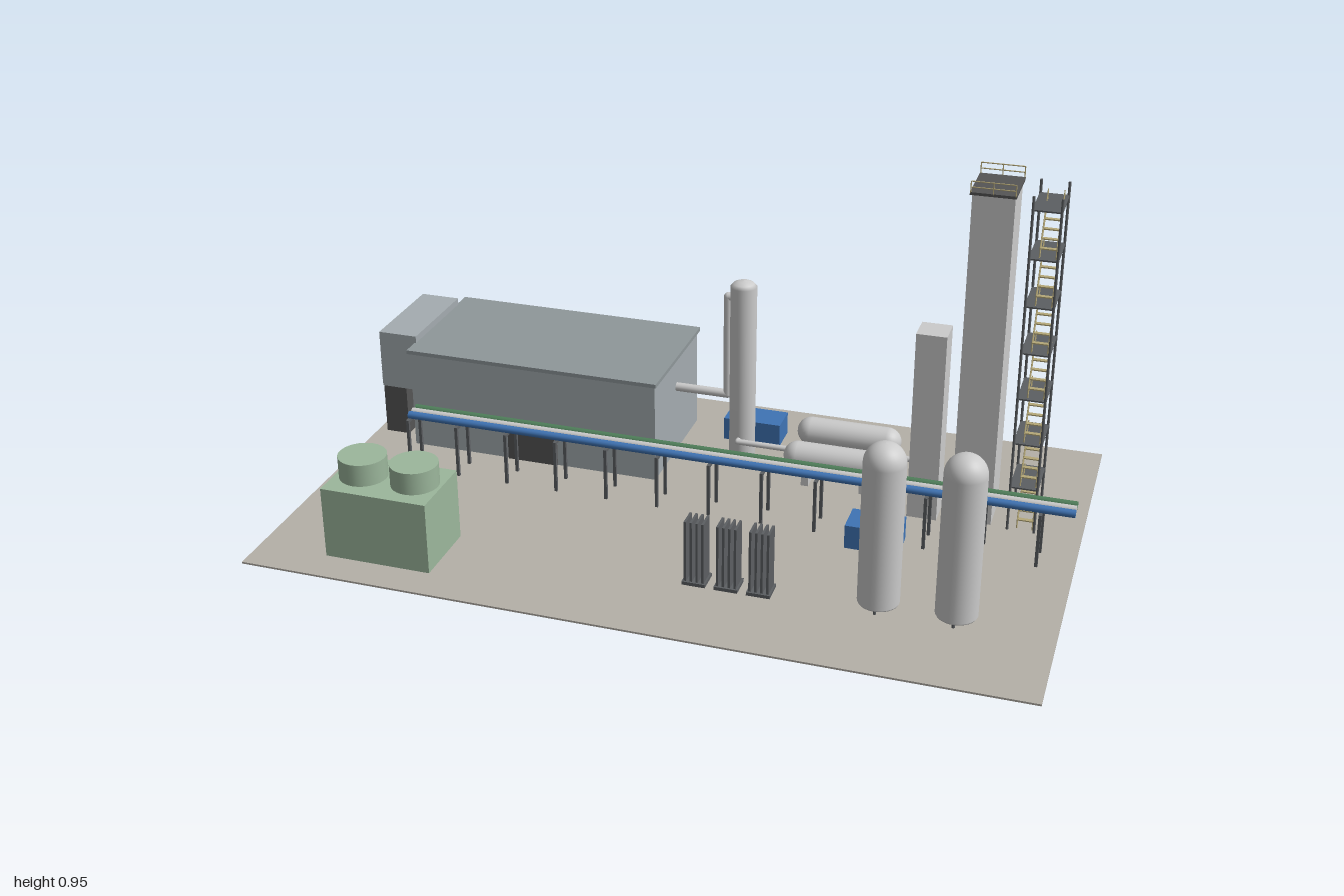
import * as THREE from 'three';

const mat = (color) => new THREE.MeshStandardMaterial({ color });
const grey = mat(0xcccccc), wall = mat(0xa4acb0), roofMat = mat(0x8f979a), ground = mat(0xb4b0a8);
const dark = mat(0x555555), steel = mat(0x5c5f62), blue = mat(0x3f74b5), green = mat(0x9cb79c);
const pipeGreen = mat(0x4f7f5a), rail = mat(0xb5a878);

function add(parent, name, geometry, material, x = 0, y = 0, z = 0) {
  const mesh = new THREE.Mesh(geometry, material);
  mesh.name = name;
  mesh.position.set(x, y, z);
  parent.add(mesh);
  return mesh;
}

// Box given by its limits along each axis
const box = (parent, name, m, x0, x1, y0, y1, z0, z1) =>
  add(parent, name, new THREE.BoxGeometry(x1 - x0, y1 - y0, z1 - z0), m, (x0 + x1) / 2, (y0 + y1) / 2, (z0 + z1) / 2);

// Round bar between two points
function bar(parent, name, m, a, b, r, sides = 8) {
  const p = new THREE.Vector3(...a), q = new THREE.Vector3(...b);
  const mesh = add(parent, name, new THREE.CylinderGeometry(r, r, p.distanceTo(q), sides), m);
  mesh.position.copy(p).add(q).multiplyScalar(0.5);
  mesh.quaternion.setFromUnitVectors(new THREE.Vector3(0, 1, 0), q.sub(p).normalize());
  return mesh;
}

// Pipe run through points, with ball joints at the corners
function pipeRun(parent, name, m, points, r) {
  const run = new THREE.Group();
  run.name = name;
  parent.add(run);
  points.forEach((p, i) => {
    if (i === 0) return;
    bar(run, 'pipe', m, points[i - 1], p, r, 16);
    if (i < points.length - 1) add(run, 'elbow', new THREE.SphereGeometry(r, 16, 10), m, ...p);
  });
}

function section(parent, name) {
  const g = new THREE.Group();
  g.name = name;
  parent.add(g);
  return g;
}

function buildHall(root) {
  const g = section(root, 'compressorHall');
  box(g, 'hallWalls', wall, -0.86, -0.145, 0.004, 0.288, -0.477, -0.1);
  box(g, 'hallRoof', roofMat, -0.866, -0.139, 0.286, 0.297, -0.487, -0.092);
  box(g, 'hallDoor', dark, -0.575, -0.43, 0.004, 0.122, -0.101, -0.095);
  // Air intake house on a dark plinth, louvres on its outer face
  box(g, 'intakePlinth', dark, -0.974, -0.905, 0.004, 0.15, -0.425, -0.15);
  box(g, 'intakeHouse', wall, -0.974, -0.862, 0.15, 0.316, -0.43, -0.145);
  for (let i = 0; i < 8; i++) {
    const slat = box(g, 'intakeLouvre', steel, -0.98, -0.971, 0.165 + i * 0.018, 0.169 + i * 0.018, -0.42, -0.155);
    slat.rotation.z = 0.4;
  }
}

function buildCoolingTower(root) {
  const g = section(root, 'coolingTower');
  box(g, 'coolingBody', green, -0.812, -0.528, 0.004, 0.197, 0.335, 0.525);
  for (const x of [-0.741, -0.599])
    add(g, 'fanStack', new THREE.CylinderGeometry(0.062, 0.062, 0.06, 32), green, x, 0.226, 0.427);
}

function buildProcess(root) {
  const g = section(root, 'processLine');
  // Cooling column with a shallow domed top
  const column = [[0, 0.004], [0.036, 0.004], [0.036, 0.525], [0.028, 0.534], [0.015, 0.54], [0, 0.542]];
  add(g, 'coolingColumn', new THREE.LatheGeometry(column.map(([r, y]) => new THREE.Vector2(r, y)), 32), grey, 0.045, 0, -0.29);
  pipeRun(g, 'inletPipe', grey, [[-0.145, 0.2, -0.29], [0.002, 0.2, -0.29], [0.002, 0.49, -0.29], [0.045, 0.49, -0.29]], 0.012);
  pipeRun(g, 'columnOutletPipe', grey, [[0.045, 0.08, -0.29], [0.045, 0.08, -0.245], [0.2, 0.08, -0.245]], 0.008);
  // Pair of horizontal adsorber vessels on saddles
  for (const z of [-0.371, -0.22]) {
    add(g, 'adsorberVessel', new THREE.CapsuleGeometry(0.039, 0.214, 10, 28), grey, 0.33, 0.08, z).rotation.z = Math.PI / 2;
    for (const x of [0.25, 0.41]) box(g, 'vesselSaddle', grey, x - 0.01, x + 0.01, 0.004, 0.055, z - 0.03, z + 0.03);
  }
  pipeRun(g, 'vesselOutletPipe', grey, [[0.45, 0.08, -0.286], [0.543, 0.08, -0.286], [0.543, 0.08, -0.15], [0.57, 0.08, -0.15]], 0.008);
  pipeRun(g, 'coldBoxPipe', grey, [[0.6, 0.08, -0.148], [0.68, 0.08, -0.148]], 0.008);
  box(g, 'smallColdBox', grey, 0.546, 0.625, 0.004, 0.53, -0.192, -0.113);
  // Blue equipment skids
  box(g, 'equipmentSkid', blue, -0.037, 0.126, 0.004, 0.07, -0.478, -0.39);
  box(g, 'equipmentSkid', blue, 0.427, 0.567, 0.004, 0.07, 0.002, 0.094);
}

function buildColdBox(root) {
  const g = section(root, 'coldBoxTower');
  box(g, 'towerBody', grey, 0.66, 0.765, 0.004, 0.91, -0.253, -0.133);
  box(g, 'towerPlatform', dark, 0.656, 0.769, 0.91, 0.917, -0.267, -0.118);
  for (const z of [-0.265, -0.119]) {
    for (const x of [0.658, 0.7125, 0.767]) bar(g, 'railPost', rail, [x, 0.915, z], [x, 0.945, z], 0.0015, 6);
    for (const y of [0.93, 0.945]) bar(g, 'guardRail', rail, [0.658, y, z], [0.767, y, z], 0.0015, 6);
  }
}

function buildStairTower(root) {
  const g = section(root, 'stairTower');
  for (const x of [0.809, 0.878])
    for (const z of [-0.126, -0.257]) bar(g, 'stairPost', steel, [x, 0, z], [x, 0.92, z], 0.0035);
  const rise = 0.126, z0 = -0.138, z1 = -0.214;
  for (let i = 0; i < 7; i++) {
    const y = 0.004 + i * rise;
    box(g, 'landing', steel, 0.807, 0.88, y + rise - 0.004, y + rise, -0.257, -0.126);
    // One flight: stringers, handrails and treads
    for (const x of [0.832, 0.872]) {
      bar(g, 'stringer', rail, [x, y, z0], [x, y + rise, z1], 0.002, 6);
      bar(g, 'handrail', rail, [x, y + 0.026, z0], [x, y + rise + 0.026, z1], 0.0015, 6);
      for (const t of [0, 0.5, 1]) {
        const z = z0 + (z1 - z0) * t, py = y + rise * t;
        bar(g, 'handrailPost', rail, [x, py, z], [x, py + 0.026, z], 0.0013, 6);
      }
    }
    for (let k = 1; k < 6; k++) {
      const py = y + rise * k / 6, z = z0 + (z1 - z0) * k / 6;
      box(g, 'tread', rail, 0.832, 0.872, py - 0.0015, py + 0.0015, z - 0.006, z + 0.006);
    }
  }
}

function buildPipeRack(root) {
  const g = section(root, 'pipeRack');
  for (let i = 0; i < 13; i++) {
    const x = -0.81 + i * 0.143;
    for (const z of [-0.035, 0.037]) box(g, 'rackPost', steel, x - 0.004, x + 0.004, 0.004, 0.15, z - 0.004, z + 0.004);
    box(g, 'rackBeam', steel, x - 0.004, x + 0.004, 0.144, 0.152, -0.039, 0.041);
  }
  [[-0.021, pipeGreen], [0.001, grey], [0.023, blue]].forEach(([z, m]) =>
    bar(g, 'rackPipe', m, [-0.812, 0.162, z], [0.99, 0.162, z], 0.0105, 14));
}

function buildStorage(root) {
  const g = section(root, 'liquidStorage');
  for (const x of [0.568, 0.758]) {
    // Round-topped tank with a slightly rounded foot, on three legs
    const profile = [[0, 0.018], [0.05, 0.018], [0.052, 0.022]];
    for (let i = 0; i <= 10; i++) {
      const a = i / 10 * Math.PI / 2;
      profile.push([0.052 * Math.cos(a), 0.396 + 0.052 * Math.sin(a)]);
    }
    add(g, 'storageTank', new THREE.LatheGeometry(profile.map(([r, y]) => new THREE.Vector2(Math.max(r, 0), y)), 32), grey, x, 0, 0.332);
    for (let k = 0; k < 3; k++) {
      const a = k * Math.PI * 2 / 3;
      bar(g, 'tankLeg', steel, [x + 0.04 * Math.sin(a), 0.002, 0.332 + 0.04 * Math.cos(a)], [x + 0.04 * Math.sin(a), 0.022, 0.332 + 0.04 * Math.cos(a)], 0.004);
    }
  }
  // Finned ambient vaporizers
  for (let i = 0; i < 3; i++) {
    const x = 0.116 + i * 0.0825;
    box(g, 'vaporizerBase', steel, x - 0.03, x + 0.03, 0.004, 0.014, 0.325, 0.385);
    for (let k = 0; k < 4; k++) {
      const fx = x - 0.0225 + k * 0.015;
      box(g, 'vaporizerFin', steel, fx - 0.003, fx + 0.003, 0.014, 0.18, 0.33, 0.38);
    }
  }
}

export function createModel() {
  const root = new THREE.Group();
  root.name = 'airSeparationPlant';
  box(root, 'groundSlab', ground, -1, 1, 0, 0.005, -0.617, 0.617);
  [buildHall, buildCoolingTower, buildProcess, buildColdBox, buildStairTower, buildPipeRack, buildStorage].forEach((build) => build(root));
  return root;
}
